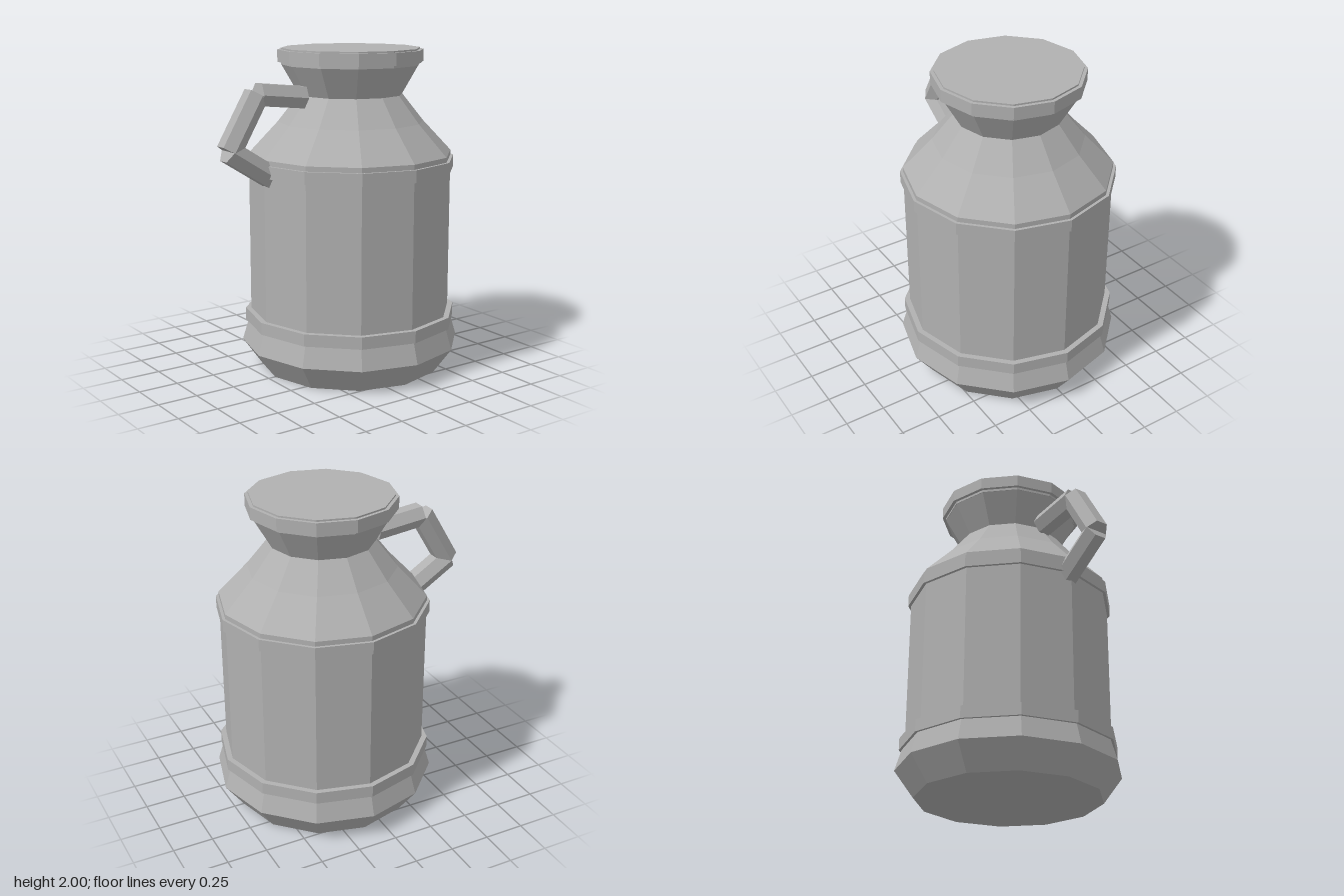
import * as THREE from 'three';

const SIDES = 12;

export function createModel() {
  const group = new THREE.Group();
  group.name = 'milkCan';
  const metal = new THREE.MeshStandardMaterial({ color: 0xb0b0b0, flatShading: true });
  metal.name = 'grey metal';

  const add = (name, geometry, parent) => {
    const mesh = new THREE.Mesh(geometry, metal);
    mesh.name = name;
    parent.add(mesh);
    return mesh;
  };

  // faceted solid of revolution from [radius, height] points, bottom to top
  const can = new THREE.Group();
  can.name = 'can';
  can.position.x = 0.117;
  group.add(can);
  const turned = (name, points) =>
    add(name, new THREE.LatheGeometry(points.map(([r, y]) => new THREE.Vector2(r, y)), SIDES), can);

  // flared foot, straight wall, shoulder and neck
  turned('body', [
    [0, 0], [0.57, 0], [0.686, 0.16], [0.63, 0.35], [0.63, 1.36],
    [0.452, 1.55], [0.32, 1.717], [0.428, 1.905], [0, 1.905],
  ]);

  // raised hoops
  const hoop = (name, r, y0, y1) => turned(name, [[0.6, y0], [r, y0], [r, y1], [0.6, y1]]);
  hoop('lowerHoop', 0.664, 0.29, 0.365);
  hoop('upperHoop', 0.648, 1.255, 1.33);

  // lid with a slightly raised plate
  turned('lidRim', [[0, 1.915], [0.449, 1.915], [0.449, 1.99], [0, 1.99]]);
  turned('lidPlate', [[0, 1.9], [0.428, 1.9], [0.428, 2], [0, 2]]);

  // handle of three hexagonal bars
  const handle = new THREE.Group();
  handle.name = 'handle';
  group.add(handle);
  const bar = (name, x0, y0, x1, y1) => {
    const a = new THREE.Vector2(x0, y0), b = new THREE.Vector2(x1, y1);
    const mesh = add(name, new THREE.CylinderGeometry(0.075, 0.075, a.distanceTo(b), 6), handle);
    mesh.position.set((x0 + x1) / 2, (y0 + y1) / 2, 0);
    mesh.rotation.z = Math.atan2(y1 - y0, x1 - x0) - Math.PI / 2;
  };
  bar('upperBar', -0.55, 1.752, -0.24, 1.718);
  bar('gripBar', -0.56, 1.752, -0.75, 1.432);
  bar('lowerBar', -0.754, 1.434, -0.46, 1.25);

  return group;
}
